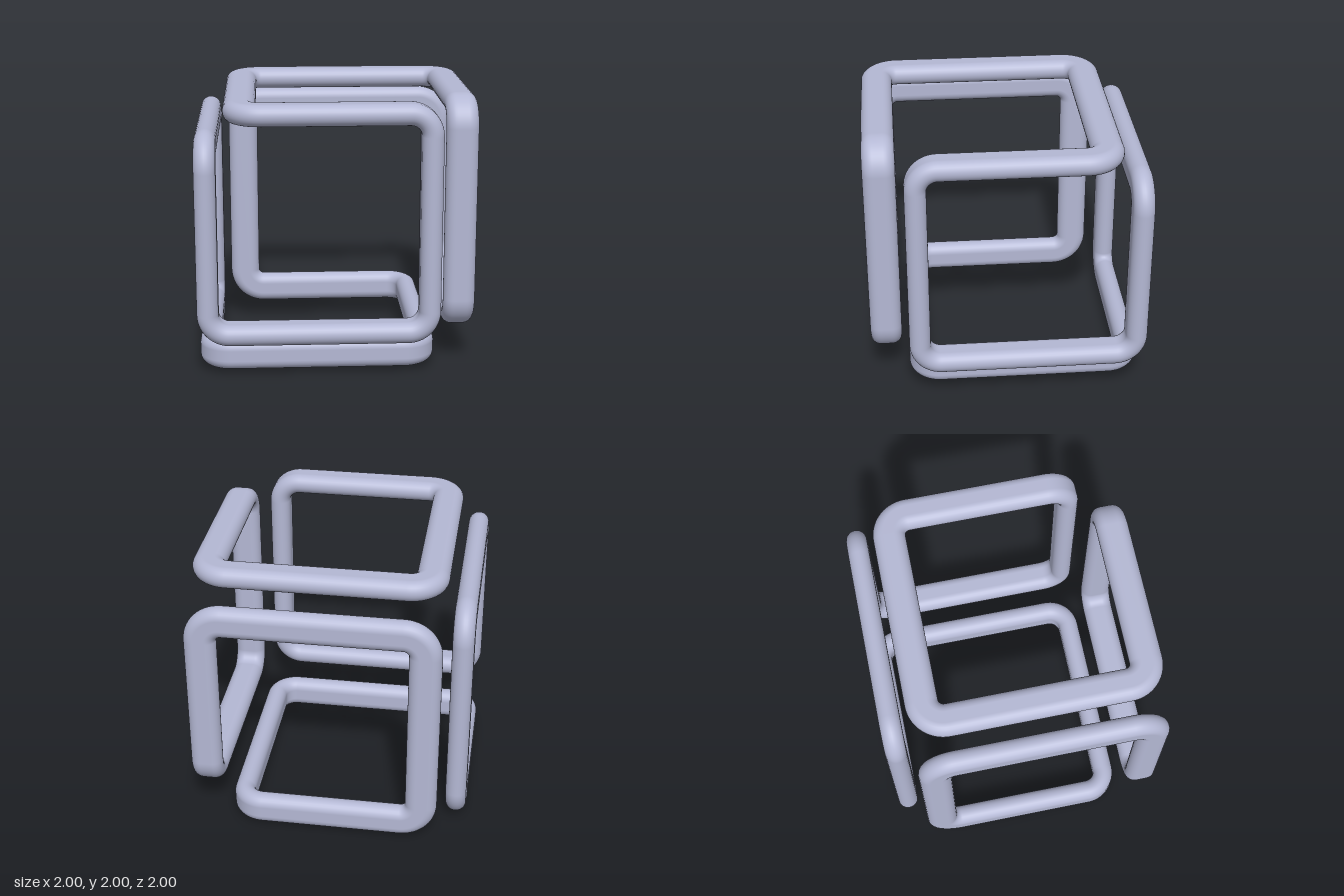
import * as THREE from 'three';

const THIN = 0.0765;   // half thickness of the bar
const WIDE = 0.1155;   // half width of the bar
const BEND = 0.155;    // bend radius of the centre line
const BEND_STEPS = 14;

// Stadium cross-section: position (u along the width, v along the thickness) and normal
function barSection(steps = 14) {
  const pts = [];
  const flat = WIDE - THIN;
  for (const side of [1, -1]) {
    for (let i = 0; i <= steps; i++) {
      const t = -Math.PI / 2 + (Math.PI * i) / steps;
      const nu = side * Math.cos(t), nv = side * Math.sin(t);
      pts.push({ u: side * flat + nu * THIN, v: nv * THIN, nu, nv });
    }
  }
  pts.push(pts[0]);
  return pts;
}

// Corners of the endless bar as it wanders over all six faces of a cube
function corners() {
  const a = 1 - THIN, b = 1 - WIDE, c = 0.72 - THIN, d = 0.8 - WIDE;
  return [
    [c, a, b], [c, -c, b], [-a, -c, b], [-a, d, b], [-a, d, -d], [-a, -b, -d],
    [-a, -b, c], [c, -b, c], [c, -b, -a], [-d, -b, -a], [-d, d, -a], [b, d, -a],
    [b, -c, -a], [b, -c, c], [b, a, c], [b, a, -d], [-d, a, -d], [-d, a, b],
  ].map((p) => new THREE.Vector3(...p));
}

// Sweeps the section round every corner, turning its frame with each bend
function endlessBar() {
  const pts = corners(), n = pts.length, section = barSection();
  const pos = [], nor = [], idx = [];
  let rings = 0;

  const addRing = (centre, wide, dir) => {
    const thin = dir.clone().cross(wide);
    for (const s of section) {
      const p = centre.clone().addScaledVector(wide, s.u).addScaledVector(thin, s.v);
      const m = wide.clone().multiplyScalar(s.nu).addScaledVector(thin, s.nv);
      pos.push(p.x, p.y, p.z);
      nor.push(m.x, m.y, m.z);
    }
    rings++;
  };

  let wide = new THREE.Vector3(0, 0, 1);
  let first = null;
  for (let k = 0; k < n; k++) {
    const corner = pts[k];
    const dirIn = corner.clone().sub(pts[(k + n - 1) % n]).normalize();
    const dirOut = pts[(k + 1) % n].clone().sub(corner).normalize();
    const axis = dirIn.clone().cross(dirOut).normalize();
    const pivot = corner.clone().addScaledVector(dirIn, -BEND).addScaledVector(dirOut, BEND);
    if (!first) first = { centre: corner.clone().addScaledVector(dirIn, -BEND), dir: dirIn };
    for (let i = 0; i <= BEND_STEPS; i++) {
      const angle = (Math.PI / 2) * (i / BEND_STEPS);
      const arm = dirOut.clone().multiplyScalar(-BEND).applyAxisAngle(axis, angle);
      addRing(
        pivot.clone().add(arm),
        wide.clone().applyAxisAngle(axis, angle),
        dirIn.clone().applyAxisAngle(axis, angle)
      );
    }
    wide = wide.clone().applyAxisAngle(axis, Math.PI / 2);
  }
  addRing(first.centre, wide, first.dir); // closes the loop

  const w = section.length;
  for (let r = 0; r < rings - 1; r++) {
    for (let j = 0; j < w - 1; j++) {
      const p = r * w + j, q = p + w;
      idx.push(p, p + 1, q, p + 1, q + 1, q);
    }
  }
  const geo = new THREE.BufferGeometry();
  geo.setAttribute('position', new THREE.Float32BufferAttribute(pos, 3));
  geo.setAttribute('normal', new THREE.Float32BufferAttribute(nor, 3));
  geo.setIndex(idx);
  return geo;
}

export function createModel() {
  const group = new THREE.Group();
  group.name = 'cubeLoopSculpture';
  const material = new THREE.MeshStandardMaterial({ color: 0xb4b8d4 });
  material.name = 'paleLavender';
  const bar = new THREE.Mesh(endlessBar(), material);
  bar.name = 'endlessBar';
  bar.position.y = 1;
  group.add(bar);
  return group;
}
